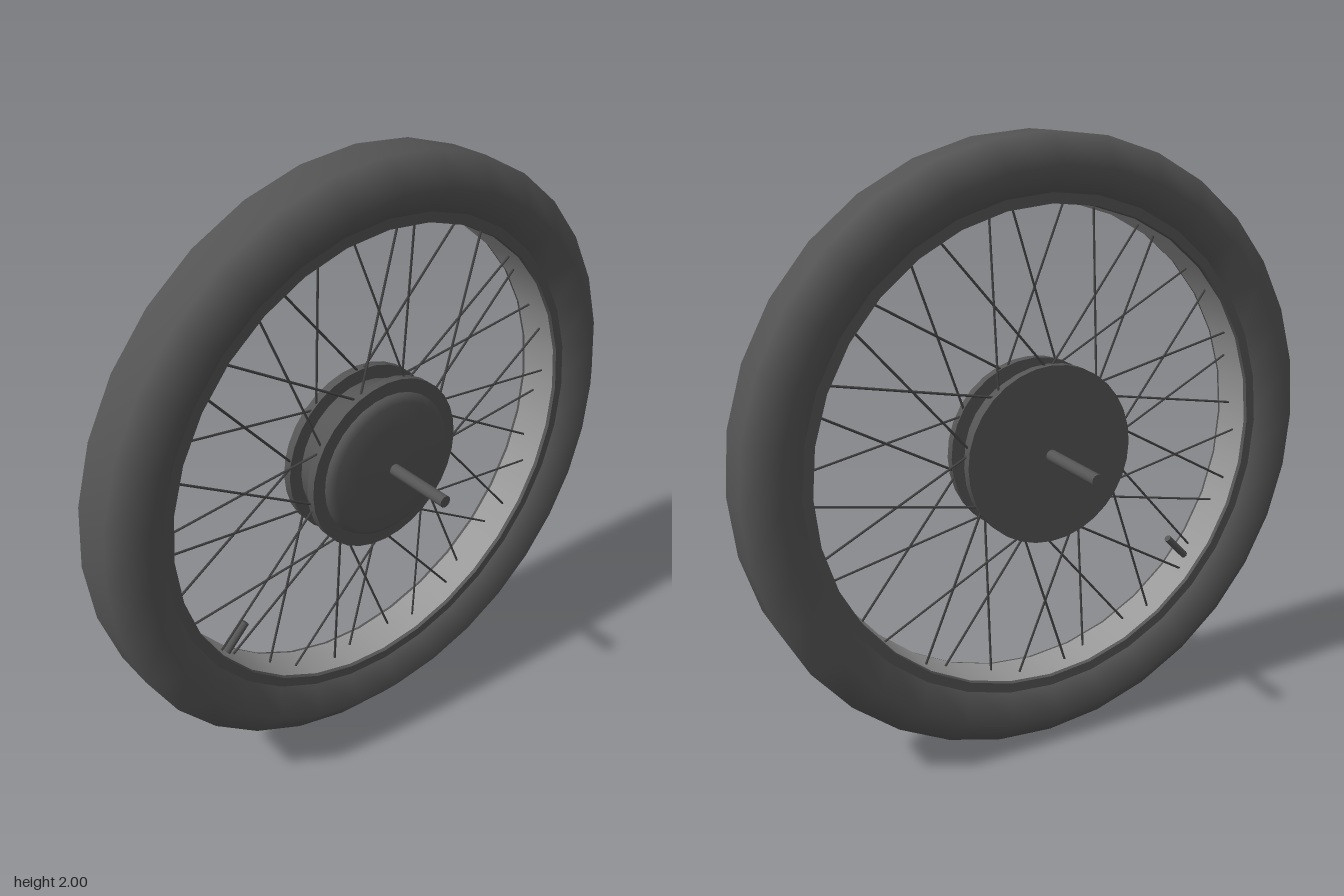
import * as THREE from 'three';
import { toCreasedNormals } from 'three/addons/utils/BufferGeometryUtils.js';

const material = (name, color) => {
  const m = new THREE.MeshStandardMaterial({ color });
  m.name = name;
  return m;
};

export function createModel() {
  const dark = material('dark grey', 0x555555);
  const metal = material('light metal', 0x999999);
  const spokeGrey = material('spoke grey', 0x444444);

  const wheel = new THREE.Group();
  wheel.name = 'wheel';
  wheel.position.y = 1;

  const add = (name, geometry, mat) => {
    const mesh = new THREE.Mesh(geometry, mat);
    mesh.name = name;
    wheel.add(mesh);
    return mesh;
  };

  // Turns a profile of [radius, x] pairs around the x axis
  const turn = (profile, segments, sharp) => {
    const points = profile.map(([r, x]) => new THREE.Vector2(r, x));
    const g = new THREE.LatheGeometry(points, segments).rotateZ(-Math.PI / 2);
    return sharp ? toCreasedNormals(g, 0.6) : g;
  };

  // Round bar between two points
  const bar = (name, a, b, radius, sides, mat) => {
    const dir = b.clone().sub(a);
    const mesh = add(name, new THREE.CylinderGeometry(radius, radius, dir.length(), sides), mat);
    mesh.position.copy(a).add(b).multiplyScalar(0.5);
    mesh.quaternion.setFromUnitVectors(new THREE.Vector3(0, 1, 0), dir.normalize());
  };

  // Point at a radius and an angle from the top, towards +z
  const polar = (x, r, angle) => new THREE.Vector3(x, r * Math.cos(angle), r * Math.sin(angle));

  // Six-sided tyre section with smooth normals
  add('tire', turn([
    [0.81, 0], [0.81, -0.07], [0.905, -0.145], [1, -0.07],
    [1, 0.07], [0.905, 0.145], [0.81, 0.07], [0.81, 0],
  ], 32), dark);

  // Rim with a lighter inner band
  add('rim', turn([
    [0.79, -0.08], [0.83, -0.08], [0.83, 0.08], [0.79, 0.08], [0.79, -0.08],
  ], 32, true), dark);
  add('rimInnerBand', turn([[0.787, 0.068], [0.787, -0.068]], 32), metal);

  // Hub: barrel between two flanges, closed flat on one side
  add('hub', turn([
    [0, -0.075], [0.295, -0.075], [0.295, -0.045], [0.25, -0.045],
    [0.25, 0.045], [0.295, 0.045], [0.295, 0.075], [0, 0.075],
  ], 32, true), dark);

  // Domed cover on the other side
  add('hubCover', turn([
    [0.25, 0.074], [0.245, 0.088], [0.225, 0.1], [0.15, 0.11], [0, 0.115],
  ], 32), dark);

  bar('axle', new THREE.Vector3(-0.35, 0, 0), new THREE.Vector3(0.35, 0, 0), 0.02, 12, dark);

  // Crossed spokes, two from each hub hole, alternating between flanges
  const deg = Math.PI / 180;
  for (let i = 0; i < 18; i++) {
    const side = i % 2 ? 1 : -1;
    for (const lean of [-1, 1]) {
      const hole = polar(side * 0.055, 0.275, i * 20 * deg);
      const nipple = polar(side * 0.015, 0.792, (i * 20 + lean * 26.7) * deg);
      bar('spoke', hole, nipple, 0.004, 6, spokeGrey);
    }
  }

  // Air valve
  bar('valve', new THREE.Vector3(0, -0.42, 0.525), new THREE.Vector3(0, -0.51, 0.612), 0.013, 8, dark);

  const model = new THREE.Group();
  model.name = 'spokedWheel';
  model.add(wheel);
  return model;
}
